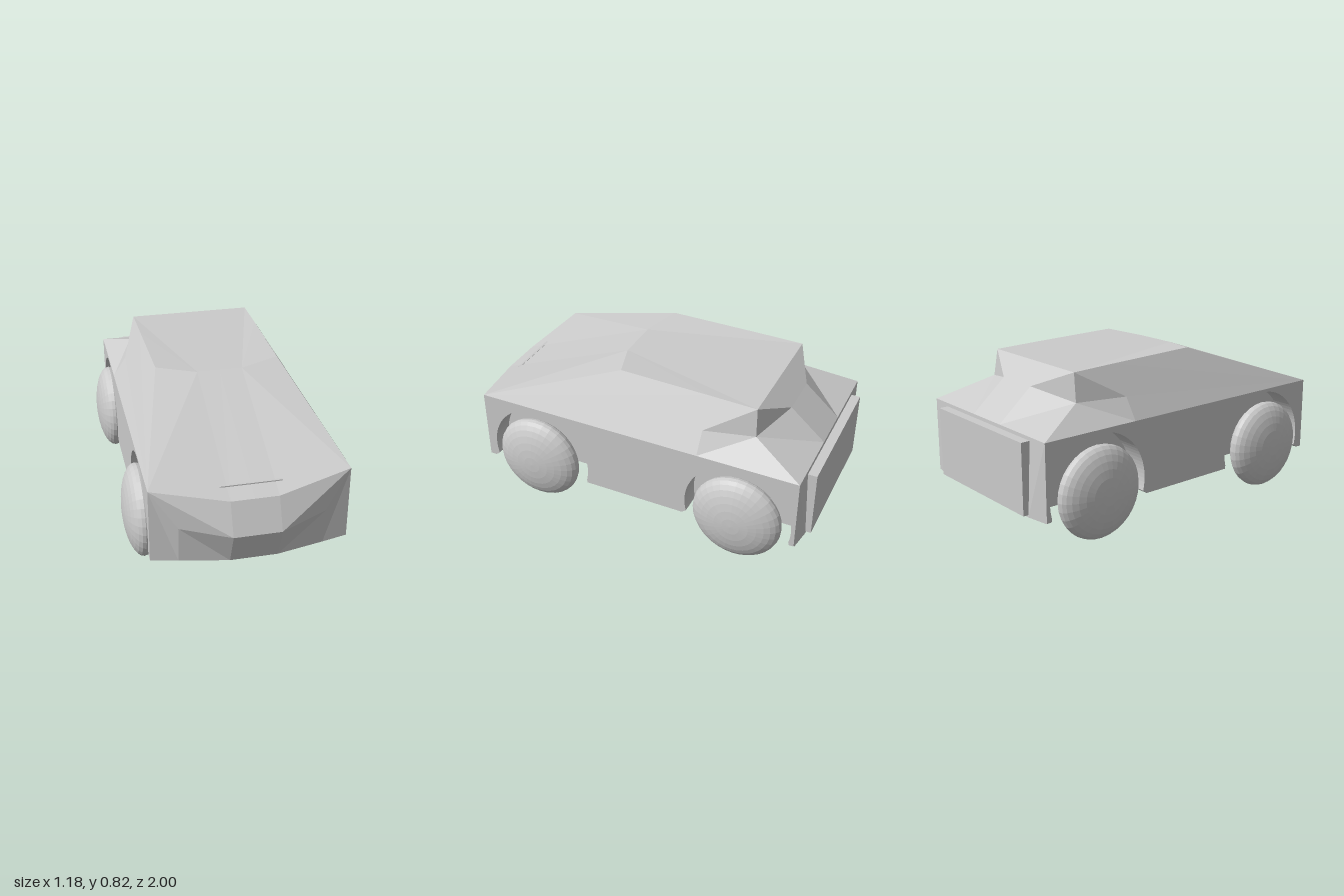
import * as THREE from 'three';

const material = new THREE.MeshStandardMaterial({ color: 0xcccccc, flatShading: true });
const WHEEL_Z = [0.52, -0.64];

function add(group, name, geometry) {
  const mesh = new THREE.Mesh(geometry, material);
  mesh.name = name;
  group.add(mesh);
  return mesh;
}

// Flat panels given for the +x half, mirrored to -x and turned to face outwards
function mirroredPanels(polygons) {
  const inside = new THREE.Vector3(0, 0.45, 0);
  const out = [];
  for (const poly of polygons) {
    for (const side of [1, -1]) {
      const pts = poly.map(([x, y, z]) => new THREE.Vector3(side * x, y, z));
      for (let i = 1; i < pts.length - 1; i++) {
        let [a, b, c] = [pts[0], pts[i], pts[i + 1]];
        const n = b.clone().sub(a).cross(c.clone().sub(a));
        const mid = a.clone().add(b).add(c).divideScalar(3).sub(inside);
        if (n.dot(mid) < 0) [b, c] = [c, b];
        for (const p of [a, b, c]) out.push(p.x, p.y, p.z);
      }
    }
  }
  const g = new THREE.BufferGeometry();
  g.setAttribute('position', new THREE.Float32BufferAttribute(out, 3));
  g.computeVertexNormals();
  return g;
}

// Side profile (z, y) of the lower body, with round arches or a shallow floor step at the wheels
function lowerBody(x0, x1, arches) {
  const s = new THREE.Shape();
  s.moveTo(0.85, 0.16);
  s.lineTo(0.85, 0.53);
  s.lineTo(0.78, 0.555);
  s.lineTo(-0.95, 0.555);
  s.lineTo(-0.95, 0.16);
  for (const z of [-0.64, 0.51]) {
    s.lineTo(z - 0.283, 0.16);
    if (arches) {
      s.lineTo(z - 0.281, 0.178);
      s.absarc(z, 0.25, 0.29, Math.PI + 0.25, -0.25, true);
    } else {
      s.lineTo(z - 0.281, 0.18);
      s.lineTo(z + 0.281, 0.18);
    }
    s.lineTo(z + 0.305, 0.16);
  }
  s.closePath();
  const g = new THREE.ExtrudeGeometry(s, { depth: x1 - x0, bevelEnabled: false, curveSegments: 24 });
  return g.rotateY(-Math.PI / 2).translate(x1, 0, 0);
}

export function createModel() {
  const car = new THREE.Group();
  car.name = 'car';

  // Lower body: a core with a wheel-arch panel on each side
  add(car, 'bodyCore', lowerBody(-0.38, 0.38, false));
  add(car, 'leftSidePanel', lowerBody(0.38, 0.5, true));
  add(car, 'rightSidePanel', lowerBody(-0.5, -0.38, true));

  // Key corners of the upper body
  const shoulderFront = [0.5, 0.555, 0.85], shoulderMid = [0.5, 0.555, -0.41], shoulderRear = [0.5, 0.555, -0.95];
  const hoodTip = [0.12, 0.5, 0.93], roofFront = [0.12, 0.81, 0.16], roofBack = [0.12, 0.81, -0.66];
  const roofPeak = [0.33, 0.825, 0.09], roofMid = [0.337, 0.816, -0.41], roofCorner = [0.34, 0.81, -0.66];
  const pillarMid = [0.43, 0.665, -0.41], pillarRear = [0.365, 0.665, -0.67];
  const glassMid = [0.12, 0.715, -0.765], deckEdge = [0.12, 0.555, -0.95];
  const center = ([, y, z]) => [0, y, z];
  const strip = (a, b) => [a, b, center(b), center(a)];

  add(car, 'hoodAndWindshield', mirroredPanels([
    [shoulderFront, hoodTip, roofFront, roofPeak],
    strip(hoodTip, roofFront),
  ]));
  add(car, 'roof', mirroredPanels([
    [roofFront, roofPeak, roofMid, roofCorner, roofBack],
    strip(roofFront, roofBack),
  ]));
  add(car, 'cabinSides', mirroredPanels([
    [shoulderFront, shoulderMid, pillarMid, roofMid, roofPeak],
    [pillarMid, pillarRear, roofCorner, roofMid],
    [shoulderMid, shoulderRear, pillarRear, pillarMid],
    [shoulderFront, [0.5, 0.53, 0.85], [0.5, 0.555, 0.78]],
  ]));
  add(car, 'rearWindowAndDeck', mirroredPanels([
    [roofCorner, pillarRear, glassMid, roofBack],
    [pillarRear, shoulderRear, deckEdge, glassMid],
    strip(roofBack, glassMid),
    strip(glassMid, deckEdge),
  ]));

  // Pointed nose
  const noseSide = [0.365, 0.36, 0.9], noseTip = [0.12, 0.34, 1];
  const chinCorner = [0.5, 0.16, 0.85], chinSide = [0.365, 0.16, 0.88], chinTip = [0.12, 0.16, 0.93];
  add(car, 'nose', mirroredPanels([
    [shoulderFront, noseSide, noseTip, hoodTip],
    [shoulderFront, chinCorner, chinSide, noseSide],
    [noseSide, chinSide, chinTip, noseTip],
    strip(hoodTip, noseTip),
    strip(noseTip, chinTip),
    [[0, 0.16, 0.85], chinCorner, chinSide, chinTip, center(chinTip)],
  ]));

  // Tail skin, bowed out a little at the bottom
  const tailCorner = [0.5, 0.16, -0.953], tailSide = [0.38, 0.16, -0.972];
  add(car, 'tail', mirroredPanels([
    [shoulderRear, tailCorner, tailSide, [0.38, 0.555, -0.951]],
    strip([0.38, 0.555, -0.951], tailSide),
    [[0, 0.16, -0.95], [0.5, 0.16, -0.95], tailCorner, tailSide, center(tailSide)],
  ]));

  // Rear plate and hood trim line
  add(car, 'rearPlate', new THREE.BoxGeometry(0.76, 0.365, 0.055)).position.set(0, 0.355, -0.9725);
  add(car, 'hoodTrim', new THREE.BoxGeometry(0.31, 0.006, 0.012)).position.set(0, 0.535, 0.846);

  // Domed wheels
  for (const [i, z] of WHEEL_Z.entries()) {
    for (const side of [1, -1]) {
      const wheel = new THREE.SphereGeometry(0.24, 32, 16).rotateZ(Math.PI / 2).scale(0.375, 1, 1);
      add(car, (i ? 'rear' : 'front') + (side > 0 ? 'Left' : 'Right') + 'Wheel', wheel)
        .position.set(side * 0.5, 0.243, z);
    }
  }
  return car;
}
